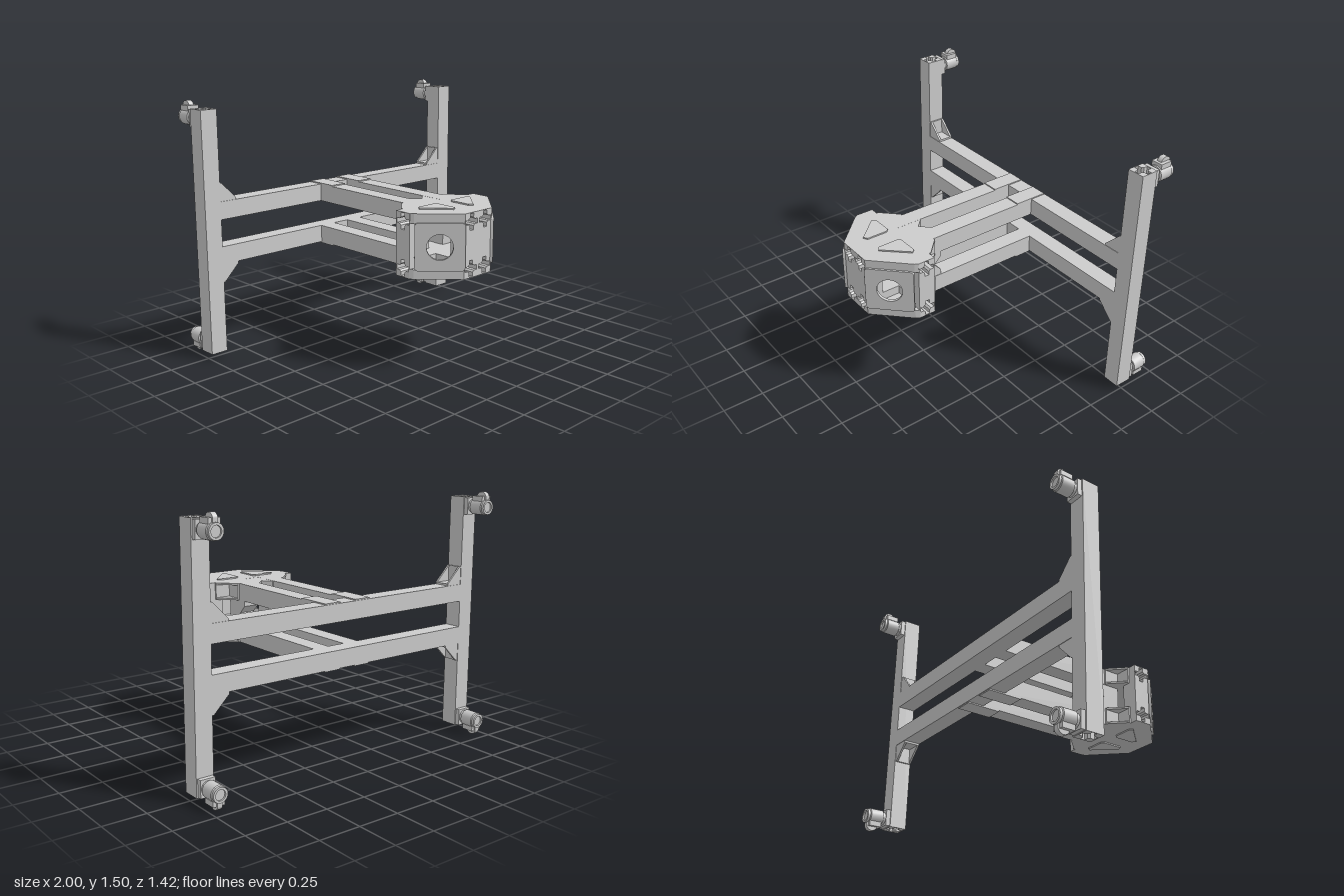
import * as THREE from 'three';
import { toCreasedNormals } from 'three/addons/utils/BufferGeometryUtils.js';

const grey = new THREE.MeshStandardMaterial({ color: 0xcccccc });
const MID = 0.755; // height of the symmetry plane
const SIDES = [-1, 1];

function part(parent, name, geometry, x = 0, y = 0, z = 0) {
  const mesh = new THREE.Mesh(geometry, grey);
  mesh.name = name;
  mesh.position.set(x, y, z);
  parent.add(mesh);
  return mesh;
}

const outline = (points) => new THREE.Shape(points.map(([x, y]) => new THREE.Vector2(x, y)));

function extrude(shape, depth) {
  return new THREE.ExtrudeGeometry(shape, { depth, bevelEnabled: false, curveSegments: 24 }).translate(0, 0, -depth / 2);
}

const box = (w, h, d) => new THREE.BoxGeometry(w, h, d);

// Hollow profile with a cross-shaped bore, running along z
function profileBar(w, h, length) {
  const shape = outline([[-w / 2, -h / 2], [w / 2, -h / 2], [w / 2, h / 2], [-w / 2, h / 2]]);
  const a = 0.014, b = 0.024, c = 0.047;
  const quarter = [[c, -a], [c, a], [b, a], [a, b]];
  const cross = [];
  for (let i = 0; i < 4; i++) {
    const cos = Math.round(Math.cos(i * Math.PI / 2)), sin = Math.round(Math.sin(i * Math.PI / 2));
    quarter.forEach(([x, y]) => cross.push(new THREE.Vector2(x * cos - y * sin, x * sin + y * cos)));
  }
  shape.holes.push(new THREE.Path(cross));
  return extrude(shape, length);
}

// Horizontal slab from an outline in x and z, centred in height
function slab(points, height) {
  return extrude(outline(points.map(([x, z]) => [x, -z])), height).rotateX(-Math.PI / 2);
}

// Hollow corner bracket: two legs along +x and +y, two cheeks, open slope
function gusset(name, width) {
  const group = new THREE.Group();
  group.name = name;
  const L = 0.108, t = 0.012;
  const cheek = outline([[0, 0], [L, 0], [L, t], [t, L], [0, L]]);
  for (const s of SIDES) part(group, 'bracketCheek', extrude(cheek, t), 0, 0, s * (width - t) / 2);
  part(group, 'bracketLeg', box(L, t, width - 2 * t), L / 2, t / 2, 0);
  part(group, 'bracketLeg', box(t, L, width - 2 * t), t / 2, L / 2, 0);
  return group;
}

// Knob on the back of a post end, with an upright clamp disc
function foot() {
  const group = new THREE.Group();
  group.name = 'foot';
  part(group, 'footMount', box(0.09, 0.1, 0.03), 0, 0, -0.577);
  const profile = [[0, 0.58], [0.04, 0.58], [0.04, 0.605], [0.048, 0.61], [0.048, 0.69],
    [0.043, 0.695], [0.043, 0.71], [0.03, 0.71], [0.03, 0.7], [0, 0.7]].map(([r, h]) => new THREE.Vector2(r, h));
  const knob = new THREE.LatheGeometry(profile, 24).rotateX(-Math.PI / 2);
  part(group, 'footKnob', toCreasedNormals(knob, 0.6));
  part(group, 'clampLug', box(0.07, 0.03, 0.075), 0, 0.05, -0.655);
  const disc = new THREE.CylinderGeometry(0.035, 0.035, 0.03, 24).rotateZ(Math.PI / 2);
  part(group, 'clampDisc', toCreasedNormals(disc, 0.6), 0, 0.055, -0.668);
  return group;
}

// Square window plate with rounded corners and a round hole
function windowPlate() {
  const w = 0.139, h = 0.135, r = 0.02;
  const shape = new THREE.Shape();
  shape.absarc(w - r, h - r, r, 0, Math.PI / 2);
  shape.absarc(-w + r, h - r, r, Math.PI / 2, Math.PI);
  shape.absarc(-w + r, -h + r, r, Math.PI, Math.PI * 1.5);
  shape.absarc(w - r, -h + r, r, Math.PI * 1.5, Math.PI * 2);
  shape.holes.push(new THREE.Path().absarc(0, 0, 0.073, 0, Math.PI * 2, true));
  return toCreasedNormals(extrude(shape, 0.02), 0.6);
}

export function createModel() {
  const model = new THREE.Group();
  model.name = 'frame';

  // Rear H-frame
  for (const s of SIDES) {
    part(model, 'post', profileBar(0.104, 0.106, 1.43).rotateX(-Math.PI / 2), s * 0.948, MID, -0.512);
    for (const v of SIDES) {
      const bracket = gusset('postBracket', 0.1);
      bracket.position.set(s * 0.897, MID + v * 0.185, -0.512);
      bracket.rotation.z = v > 0 ? (s > 0 ? Math.PI / 2 : 0) : (s > 0 ? Math.PI : -Math.PI / 2);
      model.add(bracket);

      const knob = foot();
      knob.position.set(s * 0.947, MID + v * 0.66, 0);
      if (v < 0) knob.rotation.z = Math.PI;
      model.add(knob);
    }
  }

  // Crossbars, forward arms and the two decks of the head
  for (const v of SIDES) {
    const y = MID + v * 0.1325;
    part(model, 'crossbar', box(1.794, 0.105, 0.106), 0, y, -0.512);
    part(model, 'headCrossbar', profileBar(0.106, 0.105, 0.636).rotateY(Math.PI / 2), 0, y, 0.432);
    part(model, 'armWeb', slab([[-0.056, 0.38], [-0.056, 0.215], [-0.05, 0.215], [0, 0.265],
      [0.05, 0.215], [0.056, 0.215], [0.056, 0.38]], 0.104), 0, y, 0);

    for (const s of SIDES) {
      part(model, 'arm', box(0.105, 0.105, 0.842), s * 0.108, y, -0.04);
      part(model, 'armCover', box(0.105, 0.008, 0.21), s * 0.108, MID + v * 0.188, -0.455);
      part(model, 'headFrontBar', profileBar(0.11, 0.105, 0.215), s * 0.055, y, 0.592);

      const bracket = gusset('headBracket', 0.105);
      bracket.position.set(s * 0.16, y, 0.38);
      bracket.rotation.set(-Math.PI / 2, 0, s > 0 ? 0 : Math.PI / 2);
      model.add(bracket);

      const wedge = [[0.108, 0.483], [0.319, 0.483], [0.305, 0.505], [0.11, 0.7]];
      part(model, 'headCorner', slab(wedge.map(([x, z]) => [s * x, z]), 0.055), 0, MID + v * 0.1575, 0);

      // Raised triangular panel with clipped corners
      const panel = [[0.055, 0.445], [0.07, 0.43], [0.195, 0.43], [0.21, 0.45], [0.08, 0.59], [0.055, 0.575]];
      part(model, 'headPanel', slab(panel.map(([x, z]) => [s * x, z]), 0.012), 0, MID + v * 0.187, 0);
    }
  }

  // Uprights between the decks
  part(model, 'headFrontUpright', box(0.22, 0.166, 0.105), 0, MID, 0.647);
  const web = [[0.38, 0.084], [0.22, 0.084], [0.22, 0.048], [0.267, 0],
    [0.22, -0.048], [0.22, -0.084], [0.38, -0.084]];
  for (const s of SIDES) {
    part(model, 'headSideUpright', box(0.106, 0.166, 0.106), s * 0.265, MID, 0.432);
    part(model, 'armUprightWeb', extrude(outline(web), 0.1).rotateY(-Math.PI / 2), s * 0.108, MID, 0);
    part(model, 'windowPlate', windowPlate(), s * 0.206, MID, 0.606).rotation.y = s * Math.PI / 4;
  }
  return model;
}
